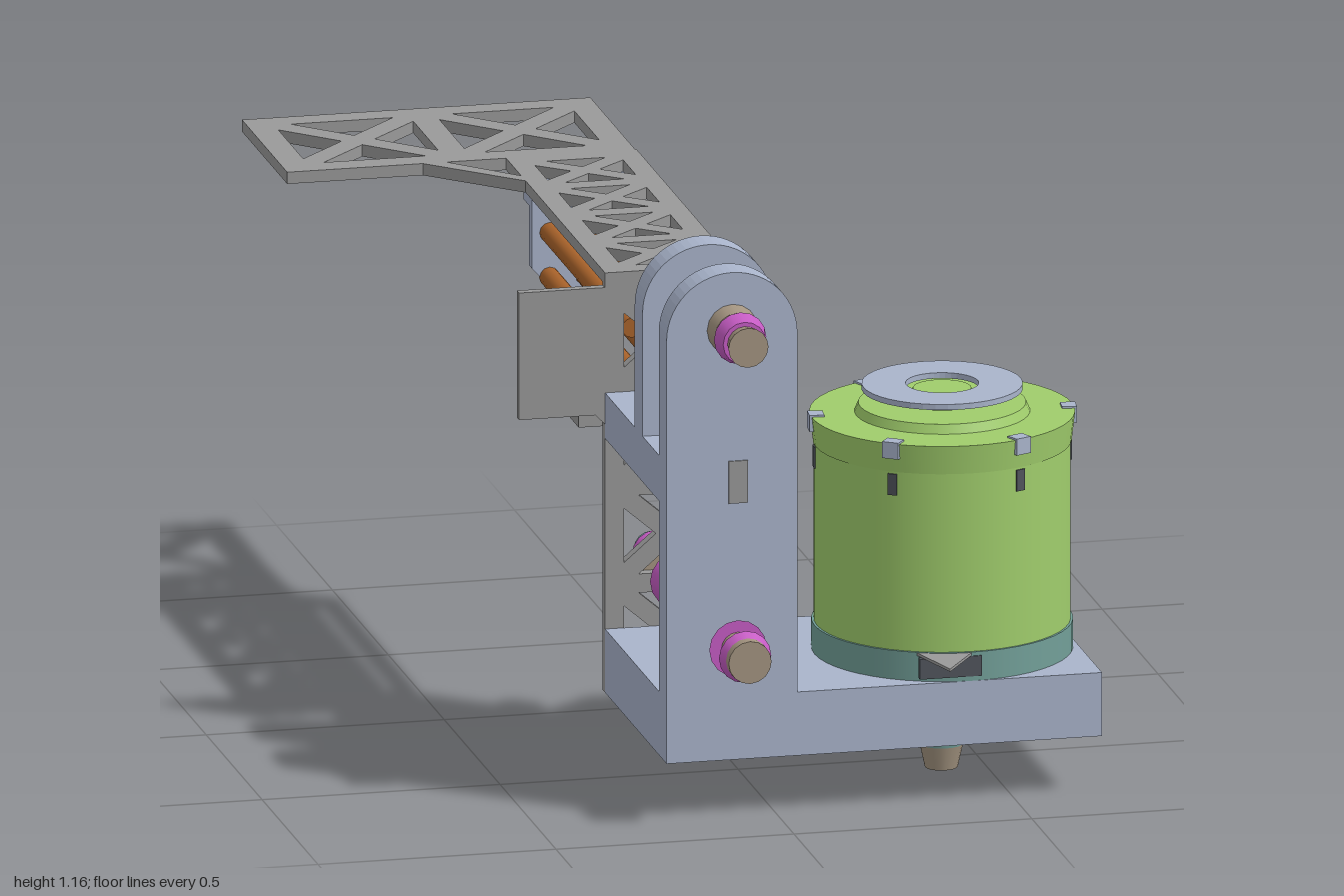
import * as THREE from 'three';

const mat = (name, color, double) => {
  const m = new THREE.MeshStandardMaterial({ color });
  m.name = name;
  if (double) m.side = THREE.DoubleSide;
  return m;
};

export function createModel() {
  const model = new THREE.Group();
  model.name = 'liftingMachine';
  const blue = mat('paleBlue', 0xa9b4cb);
  const green = mat('leafGreen', 0xa0cd6c);
  const grey = mat('steelGrey', 0x999999, true);
  const copper = mat('copper', 0xa8622a);
  const magenta = mat('magenta', 0xc65cc4);
  const tan = mat('tan', 0xa39480);
  const teal = mat('teal', 0x729f98);
  const dark = mat('darkGrey', 0x50545c);

  const add = (name, geo, material, parent = model) => {
    const m = new THREE.Mesh(geo, material);
    m.name = name;
    parent.add(m);
    return m;
  };
  // Box given by its limits on each axis
  const box = (name, material, [x0, x1], [y0, y1], [z0, z1], parent) => {
    const m = add(name, new THREE.BoxGeometry(x1 - x0, y1 - y0, z1 - z0), material, parent);
    m.position.set((x0 + x1) / 2, (y0 + y1) / 2, (z0 + z1) / 2);
    return m;
  };
  // Round part along y or z, from a to b with end radii ra and rb
  const round = (name, material, axis, [x, y, z], a, b, ra, rb = ra, sides = 20, parent = model) => {
    const geo = new THREE.CylinderGeometry(rb, ra, b - a, sides);
    if (axis === 'z') geo.rotateX(Math.PI / 2);
    const m = add(name, geo, material, parent);
    if (axis === 'z') m.position.set(x, y, (a + b) / 2);
    else m.position.set(x, (a + b) / 2, z);
    return m;
  };
  const path = (pts, Kind = THREE.Path) => new Kind(pts.map(p => new THREE.Vector2(...p)));
  // Plate with cross-braced bays along its u or v direction
  const truss = (u0, u1, v0, v1, depth, bays, alongU, rail, bar) => {
    const shape = path([[u0, v0], [u1, v0], [u1, v1], [u0, v1]], THREE.Shape);
    const n = alongU ? [bays, 1] : [1, bays];
    const w = (u1 - u0 - rail * (n[0] + 1)) / n[0], h = (v1 - v0 - rail * (n[1] + 1)) / n[1];
    const d = Math.hypot(w, h), ku = bar / 2 * d / h, kv = bar / 2 * d / w;
    for (let i = 0; i < bays; i++) {
      const a = u0 + rail + (alongU ? i * (w + rail) : 0);
      const b = v0 + rail + (alongU ? 0 : i * (h + rail));
      const cu = a + w / 2, cv = b + h / 2;
      shape.holes.push(
        path([[a + ku, b], [a + w - ku, b], [cu, cv - kv]]),
        path([[a + ku, b + h], [cu, cv + kv], [a + w - ku, b + h]]),
        path([[a, b + kv], [cu - ku, cv], [a, b + h - kv]]),
        path([[a + w, b + kv], [a + w, b + h - kv], [cu + ku, cv]]));
    }
    return new THREE.ExtrudeGeometry(shape, { depth, bevelEnabled: false });
  };
  const flat = (name, geo, material, top) => {
    const m = add(name, geo.rotateX(Math.PI / 2), material);
    m.position.y = top;
    return m;
  };

  // Base and the shelf behind the front upright
  box('base', blue, [-0.23, 0.685], [0.12, 0.255], [0.29, 0.84]);
  box('shelf', blue, [-0.23, 0.045], [0.66, 0.757], [0.29, 0.77]);

  // Round-topped uprights
  const upright = (name, bottom, z, depth) => {
    const s = new THREE.Shape();
    s.moveTo(-0.23, bottom);
    s.lineTo(0.045, bottom);
    s.lineTo(0.045, 1.018);
    s.absarc(-0.0925, 1.018, 0.1375, 0, Math.PI, false);
    s.closePath();
    const g = new THREE.ExtrudeGeometry(s, { depth, bevelEnabled: false, curveSegments: 14 });
    add(name, g, blue).position.z = z;
  };
  upright('frontUpright', 0.25, 0.77, 0.07);
  upright('innerUpright', 0.75, 0.555, 0.07);
  box('uprightPatch', grey, [-0.1, -0.06], [0.665, 0.755], [0.84, 0.843]);

  // Shafts with stepped pulleys: [z start, z end, start radius, end radius, material]
  const shaft = (name, y, z0, z1, steps) => {
    const g = new THREE.Group();
    g.name = name;
    model.add(g);
    round('axle', grey, 'z', [-0.092, y], z0, z1, 0.02, 0.02, 14, g);
    steps.forEach(([a, b, ra, rb, m]) => round('pulley', m, 'z', [-0.092, y], a, b, ra, rb, 16, g));
  };
  shaft('upperShaft', 1.035, 0.53, 0.98, [
    [0.95, 0.985, 0.036, 0.042, tan], [0.91, 0.95, 0.055, 0.045, magenta],
    [0.83, 0.88, 0.055, 0.045, tan], [0.765, 0.83, 0.045, 0.055, tan],
    [0.695, 0.735, 0.055, 0.042, magenta], [0.625, 0.68, 0.055, 0.04, tan],
    [0.55, 0.57, 0.055, 0.055, magenta], [0.525, 0.55, 0.04, 0.05, blue]]);
  shaft('lowerShaft', 0.37, 0.12, 0.99, [
    [0.975, 1.0, 0.045, 0.045, tan], [0.955, 0.975, 0.055, 0.045, magenta],
    [0.89, 0.915, 0.035, 0.03, tan], [0.85, 0.89, 0.042, 0.06, magenta],
    [0.71, 0.75, 0.05, 0.06, magenta], [0.36, 0.4, 0.06, 0.05, magenta],
    [0.215, 0.262, 0.04, 0.052, tan], [0.155, 0.19, 0.05, 0.04, magenta],
    [0.112, 0.155, 0.036, 0.042, teal]]);

  // Braced column and side panel
  add('column', truss(-0.23, 0.045, 0.12, 0.99, 0.025, 4, false, 0.04, 0.04), grey).position.z = 0.265;
  add('sidePanel', new THREE.ExtrudeGeometry(
    path([[-0.41, 0.71], [-0.25, 0.71], [-0.23, 0.69], [-0.23, 0.98], [-0.41, 0.98]], THREE.Shape),
    { depth: 0.02, bevelEnabled: false }), grey).position.z = 0.267;
  box('sideBlock', grey, [-0.28, -0.23], [0.68, 0.87], [0.13, 0.267]);

  // Arm, platform and the diagonal brace between them
  flat('arm', truss(-0.23, 0.045, -0.6, 0.29, 0.025, 4, false, 0.045, 0.04), grey, 1.012);
  flat('platform', truss(-0.69, 0.042, -1, -0.595, 0.025, 2, true, 0.055, 0.05), grey, 1.012);
  flat('brace', new THREE.ExtrudeGeometry(
    path([[-0.41, -0.6], [-0.36, -0.6], [-0.225, -0.455], [-0.225, -0.415]], THREE.Shape),
    { depth: 0.025, bevelEnabled: false }), grey, 1.012);

  // Copper guide rods
  for (const x of [-0.168, -0.093, -0.022])
    for (const y of [0.79, 0.885]) round('rod', copper, 'z', [x, y], -0.475, 0.267, 0.021, 0.021, 12);

  // Rod brackets under the arm
  add('endBracket', new THREE.ExtrudeGeometry(
    path([[-0.15, 0.75], [-0.035, 0.75], [0.02, 0.81], [0.02, 0.988], [-0.205, 0.988], [-0.205, 0.81]], THREE.Shape),
    { depth: 0.025, bevelEnabled: false }), blue).position.z = -0.495;
  box('endFlange', blue, [-0.205, 0.02], [0.937, 0.988], [-0.545, -0.495]);
  box('columnFlange', blue, [-0.205, 0.02], [0.937, 0.988], [0.215, 0.265]);

  // Drum on the base
  const drum = new THREE.Group();
  drum.name = 'drum';
  drum.position.set(0.412, 0, 0.572);
  model.add(drum);
  const o = [0, 0, 0];
  round('drumFoot', teal, 'y', o, 0.25, 0.316, 0.268, 0.268, 48, drum);
  round('drumBody', green, 'y', o, 0.316, 0.695, 0.263, 0.263, 48, drum);
  round('drumRim', green, 'y', o, 0.695, 0.756, 0.265, 0.272, 48, drum);
  round('drumLid', green, 'y', o, 0.756, 0.775, 0.18, 0.172, 40, drum);
  round('lidHub', green, 'y', o, 0.775, 0.805, 0.07, 0.06, 20, drum);
  const ring = new THREE.Shape().absarc(0, 0, 0.165, 0, Math.PI * 2, false);
  ring.holes.push(new THREE.Path().absarc(0, 0, 0.075, 0, Math.PI * 2, true));
  const ringGeo = new THREE.ExtrudeGeometry(ring, { depth: 0.012, bevelEnabled: false, curveSegments: 20 });
  add('floatingRing', ringGeo.rotateX(Math.PI / 2), blue, drum).position.y = 0.815;
  // Clips around the rim
  for (let i = 0; i < 6; i++) {
    const pivot = new THREE.Group();
    pivot.name = 'clip';
    pivot.rotation.y = i * Math.PI / 3 + 0.42;
    drum.add(pivot);
    box('clipHead', blue, [-0.018, 0.018], [0.725, 0.76], [0.245, 0.276], pivot);
    box('clipSlot', dark, [-0.01, 0.01], [0.645, 0.69], [0.259, 0.266], pivot);
  }
  // Front vent and pointer at the foot
  box('vent', dark, [-0.11, 0.02], [0.265, 0.308], [0.255, 0.27], drum);
  flat('pointer', new THREE.ExtrudeGeometry(
    path([[0.3, 0.81], [0.43, 0.81], [0.34, 0.95]], THREE.Shape),
    { depth: 0.006, bevelEnabled: false }), grey, 0.315);

  // Outlet below the base
  const at = [0.41, 0, 0.572];
  round('outletCollar', blue, 'y', at, 0.072, 0.125, 0.045, 0.058);
  round('outletBand', teal, 'y', at, 0.05, 0.075, 0.046, 0.05);
  round('outletTip', tan, 'y', at, 0, 0.05, 0.034, 0.045);

  return model;
}
